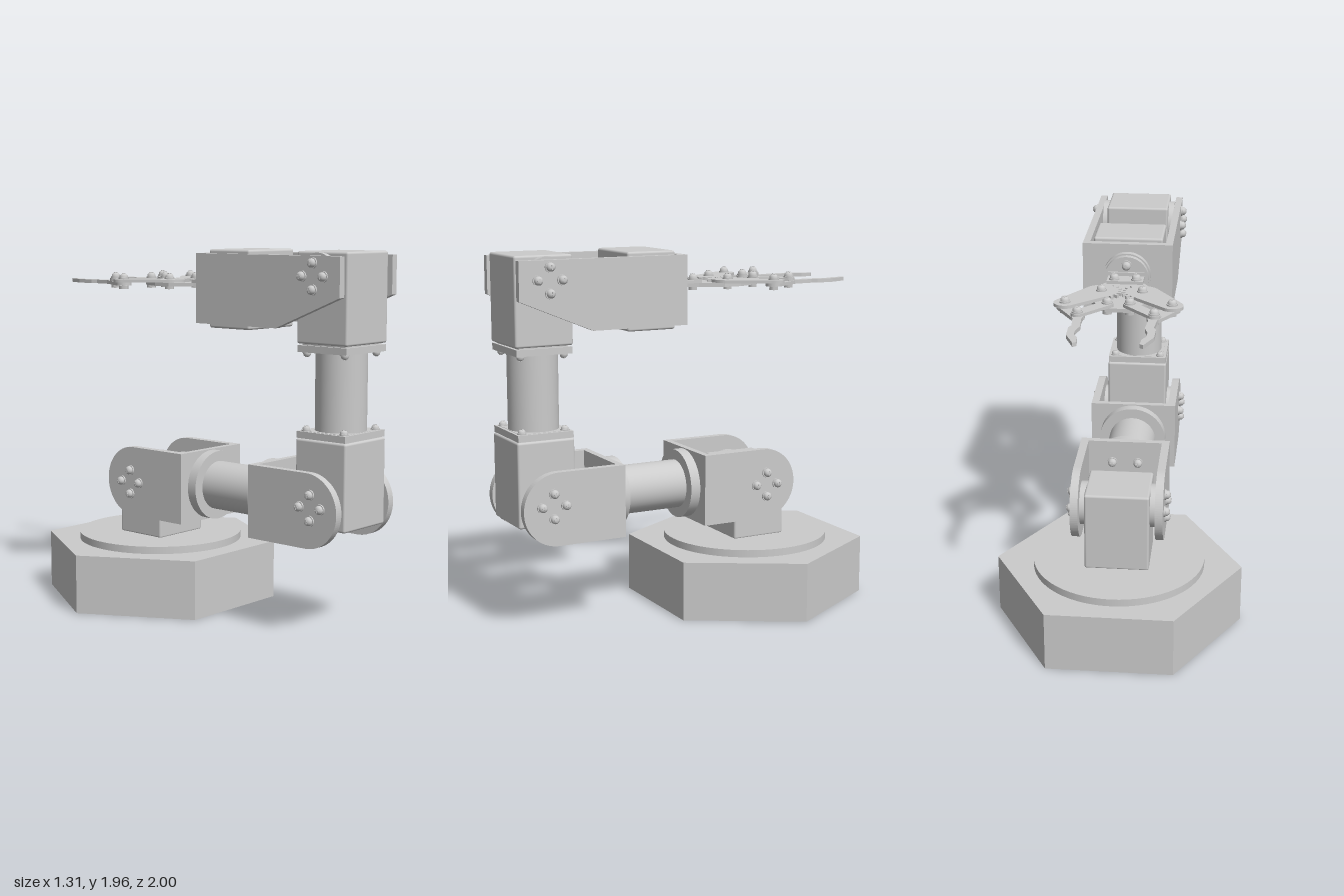
import * as THREE from 'three';
import { RoundedBoxGeometry } from 'three/addons/geometries/RoundedBoxGeometry.js';

const grey = new THREE.MeshStandardMaterial({ color: 0xcccccc });
const UP = new THREE.Vector3(0, 1, 0);

export function createModel() {
  const root = new THREE.Group();

  function add(name, geo, x = 0, y = 0, z = 0) {
    const m = new THREE.Mesh(geo, grey);
    m.name = name;
    m.position.set(x, y, z);
    root.add(m);
    return m;
  }
  const box = (name, w, h, d, x, y, z) => add(name, new THREE.BoxGeometry(w, h, d), x, y, z);
  const block = (name, w, h, d, x, y, z) => add(name, new RoundedBoxGeometry(w, h, d, 3, 0.012), x, y, z);

  // Cylinder along a chosen axis
  function cyl(name, r, len, axis, x, y, z, sides = 48) {
    const g = new THREE.CylinderGeometry(r, r, len, sides);
    if (axis === 'x') g.rotateZ(Math.PI / 2);
    if (axis === 'z') g.rotateX(Math.PI / 2);
    return add(name, g, x, y, z);
  }

  // Vertical plate drawn in (z, y), filling x0..x1
  function sidePlate(name, shape, x0, x1) {
    const g = new THREE.ExtrudeGeometry(shape, { depth: x1 - x0, bevelEnabled: false, curveSegments: 24 });
    g.rotateY(-Math.PI / 2);
    return add(name, g, x1, 0, 0);
  }

  // Flat plate drawn in (x, z), filling y0..y1
  function flatPlate(name, shape, y0, y1) {
    const g = new THREE.ExtrudeGeometry(shape, { depth: y1 - y0, bevelEnabled: false, curveSegments: 16 });
    g.rotateX(Math.PI / 2);
    return add(name, g, 0, y1, 0);
  }
  const polygon = (pts) => new THREE.Shape(pts.map(([a, b]) => new THREE.Vector2(a, b)));

  // Bar with rounded ends of different radii
  function barShape([ax, ay], [bx, by], ra, rb) {
    const dir = Math.atan2(by - ay, bx - ax);
    const t = Math.acos((ra - rb) / Math.hypot(bx - ax, by - ay));
    const s = new THREE.Shape();
    s.absarc(ax, ay, ra, dir + t, dir + 2 * Math.PI - t, false);
    s.absarc(bx, by, rb, dir - t, dir + t, false);
    s.closePath();
    return s;
  }

  // Domed cross-head screw with washer, standing on a point along dir
  const dome = [[0.0001, 0.03], [0.009, 0.029], [0.017, 0.025], [0.022, 0.018], [0.023, 0.008]]
    .reverse().map(([r, y]) => new THREE.Vector2(r, y));
  function screw(x, y, z, dx, dy, dz, k = 1) {
    const g = new THREE.Group();
    g.name = 'screw';
    const parts = [
      [new THREE.CylinderGeometry(0.028, 0.028, 0.008, 20), 0.004],
      [new THREE.LatheGeometry(dome, 20), 0],
      [new THREE.BoxGeometry(0.024, 0.004, 0.005), 0.0295],
      [new THREE.BoxGeometry(0.005, 0.004, 0.024), 0.0295],
    ];
    for (const [geo, h] of parts) {
      const m = new THREE.Mesh(geo, grey);
      m.position.y = h;
      g.add(m);
    }
    g.position.set(x, y, z);
    g.scale.setScalar(k);
    g.quaternion.setFromUnitVectors(UP, new THREE.Vector3(dx, dy, dz));
    root.add(g);
  }

  // Pivot on both sides: spacer discs and four screws each
  function pivot(y, z, outer) {
    for (const s of [-1, 1]) {
      cyl('pivotSpacer', 0.115, 0.035, 'x', s * 0.183, y, z);
      for (let i = 0; i < 4; i++) {
        const a = i * Math.PI / 2;
        screw(s * outer, y + 0.066 * Math.sin(a), z + 0.066 * Math.cos(a), s, 0, 0);
      }
    }
  }

  // Base
  const hex = new THREE.CylinderGeometry(0.657, 0.657, 0.32, 6).toNonIndexed();
  hex.rotateY(Math.PI / 6);
  hex.computeVertexNormals();
  add('base', hex, 0, 0.16, -0.435);
  cyl('turntable', 0.457, 0.04, 'y', 0, 0.34, -0.435, 64);
  block('shoulderBlock', 0.34, 0.43, 0.31, 0, 0.57, -0.427);
  pivot(0.668, -0.43, 0.242);

  // Lower arm: two U brackets joined by a flanged tube
  const armY = 0.672;
  function bracket(wall, centre, dir) {
    const s = new THREE.Shape();
    s.moveTo(wall, armY - 0.193);
    s.lineTo(centre, armY - 0.193);
    s.absarc(centre, armY, 0.193, -Math.PI / 2, Math.PI / 2, dir < 0);
    s.lineTo(wall, armY + 0.193);
    s.closePath();
    sidePlate('bracketSide', s, 0.2, 0.242);
    sidePlate('bracketSide', s, -0.242, -0.2);
    box('bracketWall', 0.4, 0.386, 0.035, 0, armY, wall + dir * 0.0175);
    cyl('armFlange', 0.188, 0.055, 'z', 0, armY, wall - dir * 0.0275);
    for (const x of [-0.07, 0.07]) for (const y of [-0.07, 0.07])
      screw(x, armY + y, wall + dir * 0.035, 0, 0, dir);
  }
  bracket(0.43, 0.807, 1);
  bracket(-0.045, -0.412, -1);
  cyl('lowerArmTube', 0.132, 0.37, 'z', 0, armY, 0.192);

  // Elbow block, upright tube and its screwed end plates
  const upZ = 0.84;
  block('elbowBlock', 0.34, 0.45, 0.315, 0, 0.795, upZ);
  pivot(0.69, 0.834, 0.242);
  cyl('uprightTube', 0.132, 0.42, 'y', 0, 1.26, upZ);
  for (const [y, d] of [[1.04, 1], [1.475, -1]]) {
    box('endPlate', 0.335, 0.035, 0.305, 0, y, upZ);
    box('endPlateGasket', 0.3, 0.05, 0.27, 0, y - d * 0.006, upZ);
    for (const x of [-0.132, 0.132]) for (const z of [-0.118, 0.118])
      screw(x, y + d * 0.017, upZ + z, 0, d, 0, 0.85);
  }
  block('upperBlock', 0.34, 0.46, 0.315, 0, 1.73, upZ);
  pivot(1.84, 0.834, 0.237);

  // Upper arm: two side plates, front wall and wrist motor
  const side = polygon([[1, 1.94], [0.063, 1.94], [0.063, 1.575], [0.6, 1.575], [1, 1.74]]);
  sidePlate('upperArmSide', side, 0.2, 0.237);
  sidePlate('upperArmSide', side, -0.237, -0.2);
  box('upperArmWall', 0.4, 0.365, 0.04, 0, 1.7575, 0.083);
  block('wristMotor', 0.365, 0.41, 0.275, 0, 1.755, 0.243);

  // Wrist
  const gy = 1.775;
  cyl('wristDisc', 0.124, 0.035, 'z', 0, gy, 0.046);
  cyl('wristDiscCap', 0.116, 0.035, 'z', 0, gy, 0.013);
  for (const d of [-0.07, 0.07]) screw(0, gy + d, -0.004, 0, 0, -1);

  // Gripper palm and its mount
  const palm = [[0.065, 0], [0.1, -0.08], [0.17, -0.2], [0.17, -0.3], [0.1, -0.44], [0.065, -0.475]];
  flatPlate('palm', polygon([...palm, ...palm.map(([x, z]) => [-x, z]).reverse()]), gy - 0.02, gy);
  box('palmMount', 0.19, 0.016, 0.1, 0, gy + 0.008, -0.052);
  box('palmMountFoot', 0.19, 0.07, 0.014, 0, gy, -0.009);

  // Bolt with a screw head above and a hexagonal nut below
  function bolt(x, z, top = gy + 0.016) {
    cyl('boltShaft', 0.014, top - gy + 0.03, 'y', x, (top + gy - 0.03) / 2, z, 12);
    cyl('nut', 0.026, 0.018, 'y', x, gy - 0.029, z, 6);
    screw(x, top, z, 0, 1, 0);
  }

  for (const s of [-1, 1]) {
    const gear = [s * 0.105, -0.254], outer = [s * 0.267, -0.444];
    const inner = [s * 0.056, -0.44], knuckle = [s * 0.188, -0.587];

    // Geared arm with teeth facing the other gear
    flatPlate('gearArm', barShape(gear, outer, 0.088, 0.057), gy, gy + 0.016);
    for (let i = -3; i <= 3; i++) {
      const a = (i + (s > 0 ? 0.25 : -0.25)) * 0.34;
      const tooth = box('gearTooth', 0.03, 0.016, 0.015,
        gear[0] - s * 0.094 * Math.cos(a), gy + 0.008, gear[1] + 0.094 * Math.sin(a));
      tooth.rotation.y = s * a;
    }

    // Parallel link and finger
    flatPlate('parallelLink', barShape(inner, knuckle, 0.032, 0.032), gy, gy + 0.016);
    flatPlate('fingerRoot', barShape(outer, knuckle, 0.042, 0.036), gy - 0.018, gy);
    const blade = [[0.222, -0.57], [0.205, -0.64], [0.198, -0.73], [0.21, -0.76], [0.208, -0.86],
      [0.165, -0.965], [0.147, -0.95], [0.152, -0.89], [0.172, -0.85], [0.172, -0.8],
      [0.155, -0.74], [0.162, -0.64], [0.152, -0.57]];
    flatPlate('finger', polygon(blade.map(([x, z]) => [s * x, z])), gy - 0.018, gy + 0.002);

    for (const p of [gear, outer, inner, knuckle, [s * 0.057, -0.068]]) bolt(...p);
  }
  return root;
}
